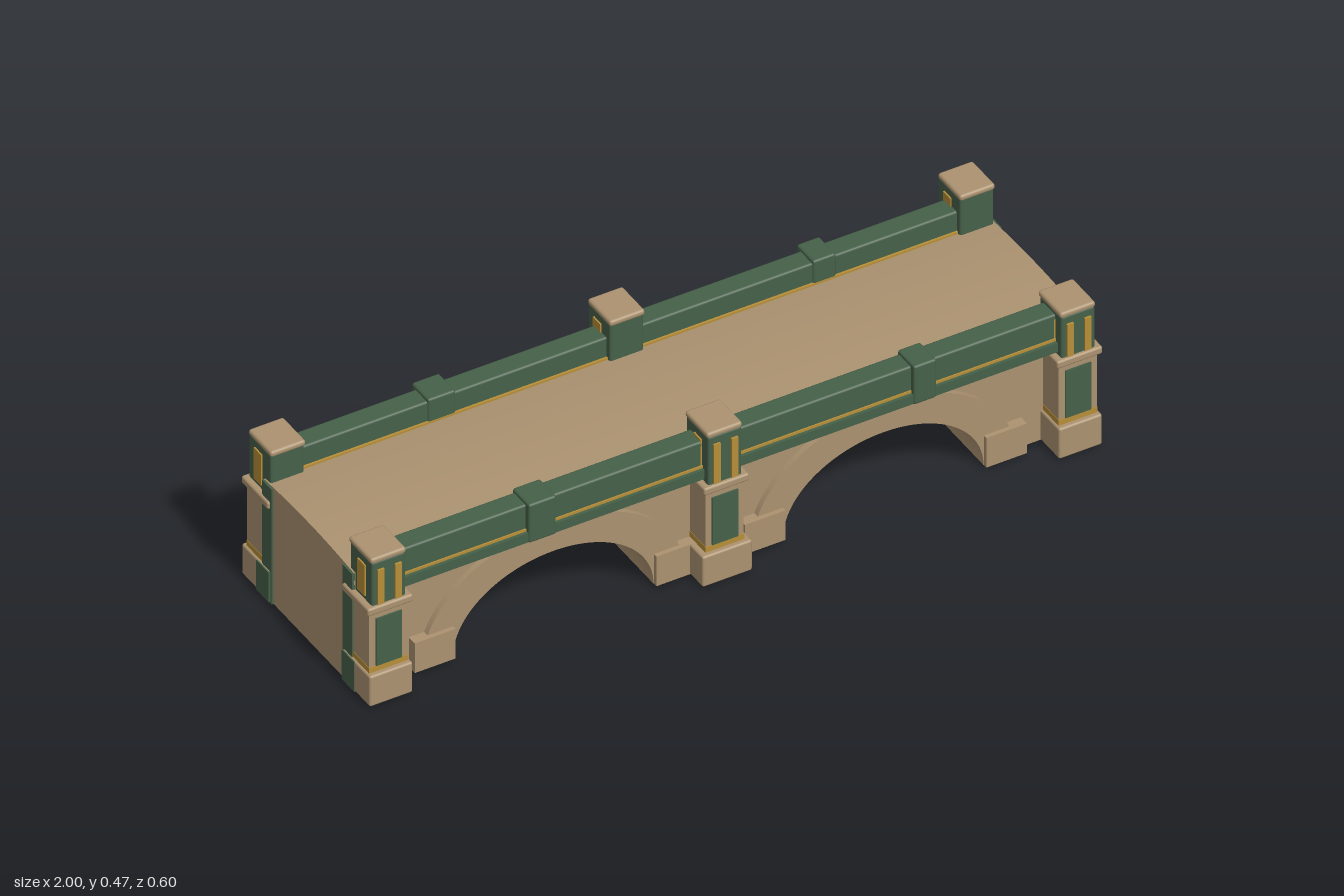
import * as THREE from 'three';
import { RoundedBoxGeometry } from 'three/addons/geometries/RoundedBoxGeometry.js';

const mat = (name, color) => Object.assign(new THREE.MeshStandardMaterial({ color }), { name });

export function createModel() {
  const stone = mat('sandstone', 0xab9270);
  const green = mat('mossGreen', 0x466049);
  const gold = mat('gold', 0xb88f38);
  const bridge = new THREE.Group();
  bridge.name = 'bridge';

  const add = (parent, name, geometry, material) => {
    const mesh = new THREE.Mesh(geometry, material);
    mesh.name = name;
    parent.add(mesh);
    return mesh;
  };
  // box given by its lower and upper limits on each axis; r rounds the edges
  const box = (parent, name, material, [x0, x1], [y0, y1], [z0, z1], r = 0) => {
    const w = x1 - x0, h = y1 - y0, d = Math.abs(z1 - z0);
    const g = r ? new RoundedBoxGeometry(w, h, d, 2, r) : new THREE.BoxGeometry(w, h, d);
    add(parent, name, g, material).position.set((x0 + x1) / 2, (y0 + y1) / 2, (z0 + z1) / 2);
  };

  const arches = [-0.457, 0.443];
  const inner = [0.273, 0.205], outer = [0.36, 0.29], base = 0.01;
  const extrude = (shape, z0, z1) =>
    new THREE.ExtrudeGeometry(shape, { depth: z1 - z0, bevelEnabled: false, curveSegments: 32 }).translate(0, 0, z0);

  // crowned deck slab
  const deck = new THREE.Shape();
  deck.moveTo(-0.21, 0.31);
  deck.lineTo(0.21, 0.31);
  deck.lineTo(0.21, 0.345);
  deck.quadraticCurveTo(0, 0.364, -0.21, 0.345);
  add(bridge, 'deck', extrude(deck, -0.99, 0.99).rotateY(Math.PI / 2), stone);

  // arch barrels, open beneath and hollow between
  for (const cx of arches) {
    const ring = new THREE.Shape();
    ring.moveTo(cx + outer[0], base);
    ring.absellipse(cx, base, outer[0], outer[1], 0, Math.PI, false);
    ring.lineTo(cx - inner[0], base);
    ring.absellipse(cx, base, inner[0], inner[1], Math.PI, 0, true);
    add(bridge, 'archBarrel', extrude(ring, -0.228, 0.228), stone);
  }

  // end walls
  for (const e of [-1, 1]) {
    const xs = e < 0 ? [-0.99, -0.95] : [0.95, 0.99];
    box(bridge, 'endWall', stone, xs, [0.003, 0.345], [-0.21, 0.21]);
  }

  // square post with plinth, shaft, collar and decorated head
  function post(x, s, top, halfBase, lift) {
    const p = new THREE.Group();
    p.name = 'post';
    const hw = 0.046, collar = 0.275 + lift;
    const z = (a, b) => [s * a, s * b];
    const px = h => [x - h, x + h];
    box(p, 'plinth', stone, px(halfBase), [0.008, 0.098], z(0.17, 0.299), 0.006);
    box(p, 'shaft', stone, px(0.052), [0.09, collar + 0.005], z(0.175, 0.284));
    box(p, 'shaftFootBand', gold, px(0.053), [0.098, 0.114], z(0.2, 0.2855));
    box(p, 'shaftPanel', green, px(0.035), [0.115, 0.255], z(0.282, 0.288));
    box(p, 'collar', stone, px(0.062), [collar, collar + 0.022], z(0.172, 0.296), 0.006);
    box(p, 'head', green, px(hw), [collar + 0.015, top - 0.012], z(0.184, 0.287), 0.006);
    box(p, 'cap', stone, px(hw + 0.002), [top - 0.017, top], z(0.18, 0.287), 0.007);
    const y = [collar + 0.024, top - 0.035];
    for (const k of [-1, 1]) {
      const xi = x + k * 0.024;
      box(p, 'headStrip', gold, [xi - 0.009, xi + 0.009], y, z(0.284, 0.292));
      const xe = x + k * hw;
      box(p, 'headSidePlate', gold, [xe - 0.004, xe + 0.004], [y[0] + 0.01, y[1]], z(0.224, 0.258));
    }
    bridge.add(p);
  }

  for (const s of [1, -1]) {
    const z = (a, b) => [s * a, s * b];
    const lift = s > 0 ? 0 : 0.006;

    // side wall with both arches cut out
    const wall = new THREE.Shape();
    wall.moveTo(-0.98, base);
    for (const cx of arches) {
      wall.lineTo(cx - inner[0], base);
      wall.absellipse(cx, base, inner[0] + 0.004, inner[1] + 0.004, Math.PI, 0, true);
    }
    wall.lineTo(0.98, base);
    wall.lineTo(0.98, 0.34);
    wall.lineTo(-0.98, 0.34);
    add(bridge, 'sideWall', s > 0 ? extrude(wall, 0.18, 0.212) : extrude(wall, -0.212, -0.18), stone);

    // arch feet beside the posts
    for (const cx of arches) for (const k of [-1, 1]) {
      const a = cx + k * (inner[0] + 0.001), b = cx + k * 0.385;
      box(bridge, 'archFoot', stone, [Math.min(a, b), Math.max(a, b)], [base, 0.098], z(0.19, 0.24));
    }

    // parapet with cornice, gold line and small blocks
    box(bridge, 'parapet', green, [-0.96, 0.96], [0.31, 0.408], z(0.2, 0.258), 0.006);
    box(bridge, 'cornice', green, [-0.96, 0.96], [0.305, 0.332], z(0.195, 0.27));
    box(bridge, 'corniceLine', gold, [-0.92, 0.92], [0.331, 0.339], z(0.25, 0.2615));
    box(bridge, 'parapetBlock', green, [-0.55, -0.475], [0.303, 0.417], z(0.195, 0.274), 0.006);
    box(bridge, 'parapetBlock', green, [0.5, 0.562], [0.303, 0.417], z(0.195, 0.274), 0.006);
    if (s < 0) box(bridge, 'deckEdgeLine', gold, [-0.9, 0.9], [0.344, 0.352], z(0.194, 0.201));

    // posts
    post(-0.94, s, s > 0 ? 0.436 : 0.442, 0.059, lift);
    post(s > 0 ? -0.023 : -0.015, s, s > 0 ? 0.45 : 0.468, 0.068, lift);
    post(0.94, s, s > 0 ? 0.43 : 0.467, 0.059, lift);

    // green strips on the end faces
    for (const e of [-1, 1]) {
      const strip = (y, zs, x0, x1) =>
        box(bridge, 'endStrip', green, e < 0 ? [-x1, -x0] : [x0, x1], y, zs);
      strip([0.003, 0.345], z(0.165, 0.21), 0.988, 0.9955);
      strip([0.008, 0.096], z(0.17, 0.228), 0.995, 1.0005);
    }
  }
  return bridge;
}
